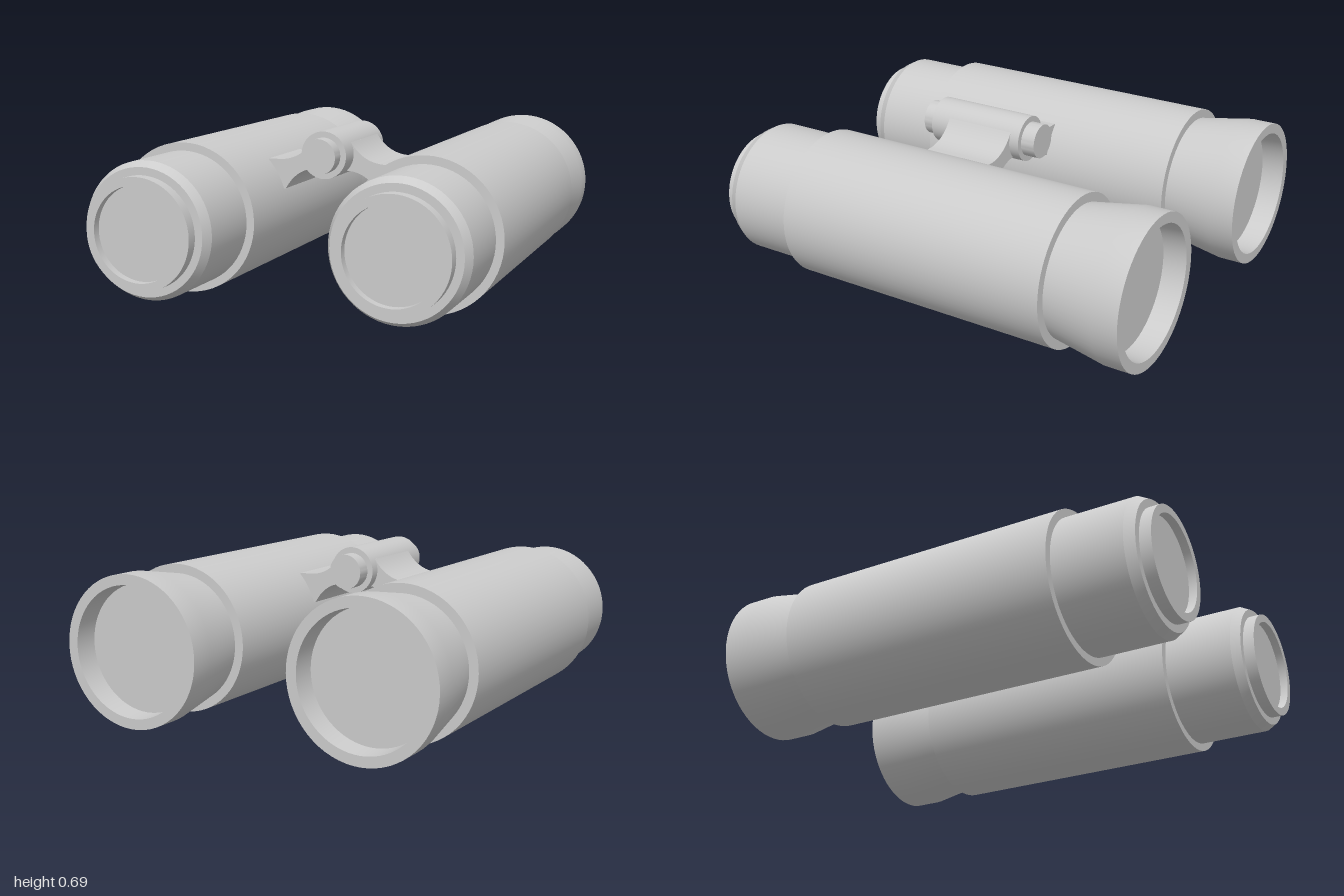
import * as THREE from 'three';
import { toCreasedNormals } from 'three/addons/utils/BufferGeometryUtils.js';

const material = new THREE.MeshStandardMaterial({ color: 0xcccccc });

function addMesh(parent, name, geometry) {
  const mesh = new THREE.Mesh(toCreasedNormals(geometry, 0.5), material);
  mesh.name = name;
  parent.add(mesh);
  return mesh;
}

// Solid of revolution about z from [radius, z] pairs, listed back to front
function turned(profile, segments = 64) {
  const points = profile.map(([r, z]) => new THREE.Vector2(r, z));
  return new THREE.LatheGeometry(points, segments).rotateX(Math.PI / 2);
}

export function createModel() {
  const group = new THREE.Group();
  group.name = 'binoculars';

  // Barrels: each part closed, with recessed lenses at both ends
  for (const [side, sign] of [['left', 1], ['right', -1]]) {
    const barrel = new THREE.Group();
    barrel.name = side + 'Barrel';
    barrel.position.set(sign * 0.54, 0.325, 0);
    group.add(barrel);

    addMesh(barrel, 'tube', turned([[0, -0.66], [0.325, -0.66], [0.325, 0.6], [0, 0.6]]));
    addMesh(barrel, 'flaredCup', turned([
      [0, -0.9], [0.275, -0.9], [0.28, -1], [0.325, -1], [0.325, -0.89], [0.285, -0.66], [0.285, -0.62],
    ]));
    addMesh(barrel, 'frontSleeve', turned([
      [0.29, 0.58], [0.29, 0.91], [0.268, 0.95], [0, 0.95],
    ]));
    addMesh(barrel, 'frontRing', turned([
      [0.235, 0.93], [0.235, 1], [0.2, 1], [0.2, 0.965], [0, 0.965],
    ]));
  }

  // Curved bridge, drawn from the front and extruded along z
  const shape = new THREE.Shape();
  shape.moveTo(-0.3, 0.55);
  shape.lineTo(-0.24, 0.55);
  shape.quadraticCurveTo(-0.145, 0.555, -0.09, 0.64);
  shape.lineTo(0.09, 0.64);
  shape.quadraticCurveTo(0.145, 0.555, 0.24, 0.55);
  shape.lineTo(0.3, 0.55);
  shape.lineTo(0.3, 0.4);
  shape.lineTo(0.22, 0.42);
  shape.quadraticCurveTo(0.165, 0.515, 0.07, 0.515);
  shape.lineTo(-0.07, 0.515);
  shape.quadraticCurveTo(-0.165, 0.515, -0.22, 0.42);
  shape.lineTo(-0.3, 0.4);
  shape.closePath();
  const bridge = new THREE.ExtrudeGeometry(shape, { depth: 0.325, bevelEnabled: false, curveSegments: 16 });
  addMesh(group, 'bridge', bridge.translate(0, 0, -0.06));

  // Hinge barrel with a thinner pin showing at both ends
  const hinge = turned([
    [0, -0.17], [0.077, -0.17], [0.077, -0.105], [0.103, -0.105],
    [0.103, 0.355], [0.077, 0.355], [0.077, 0.415], [0, 0.415],
  ], 48);
  addMesh(group, 'hinge', hinge).position.y = 0.59;

  return group;
}
